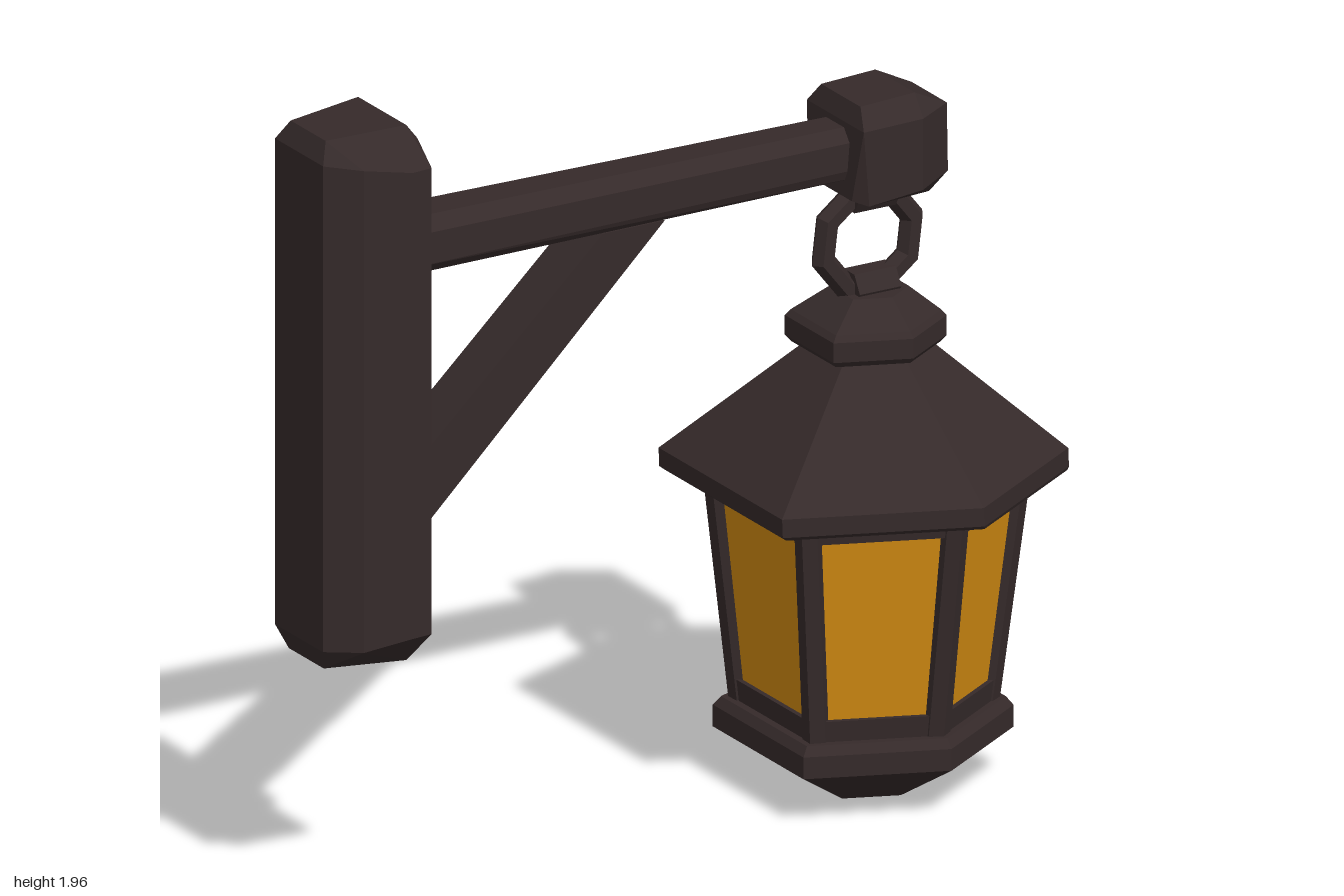
import * as THREE from 'three';
import { ConvexGeometry } from 'three/addons/geometries/ConvexGeometry.js';

const iron = new THREE.MeshStandardMaterial({ color: 0x352a2a, flatShading: true });
iron.name = 'dark iron';
const amber = new THREE.MeshStandardMaterial({ color: 0xd08a12, flatShading: true });
amber.name = 'amber glass';

// Slightly uneven hand-made hexagon, shared by every lantern part
const HEX = [[0.07, 1], [0.89, 0.48], [0.89, -0.48], [0.07, -1], [-0.9, -0.61], [-0.9, 0.61]];
const V = (x, y, z) => new THREE.Vector3(x, y, z);
const corner = (i, y, s, cx) => {
  const [x, z] = HEX[(i + 6) % 6];
  return V(cx + x * s, y, z * s);
};

export function createModel() {
  const group = new THREE.Group();
  const add = (name, geometry, material = iron) => {
    const mesh = new THREE.Mesh(geometry, material);
    mesh.name = name;
    group.add(mesh);
    return mesh;
  };
  const hull = (name, points, material) => add(name, new ConvexGeometry(points), material);
  // Convex hexagonal solid through rings of [y, size, centre x]
  const hexSolid = (name, rings, material) =>
    hull(name, rings.flatMap(([y, s, cx]) => HEX.map((_, i) => corner(i, y, s, cx))), material);
  // Convex solid from mirrored [x, y, half depth] points
  const mirrored = (name, pts) =>
    hull(name, pts.flatMap(([x, y, z]) => [V(x, y, z), V(x, y, -z)]));

  // Wall post with chamfered ends and edges
  mirrored('wallPost', [
    [-1, 0.67, 0.11], [-0.92, 0.67, 0.165], [-0.8, 0.69, 0.19], [-0.745, 0.69, 0.185],
    [-1, 1.9, 0.11], [-0.92, 1.89, 0.165], [-0.8, 1.87, 0.19], [-0.745, 1.87, 0.185],
    [-0.98, 0.615, 0.08], [-0.77, 0.605, 0.11], [-0.745, 0.635, 0.12],
    [-0.975, 1.95, 0.08], [-0.77, 1.96, 0.11], [-0.745, 1.925, 0.12],
  ]);

  // Bolts
  for (const y of [0.78, 1.78]) {
    mirrored('bolt', [
      [-0.76, y - 0.04, 0.03], [-0.76, y + 0.04, 0.03], [-0.76, y, 0.045],
      [-0.725, y - 0.04, 0.03], [-0.725, y + 0.04, 0.03], [-0.725, y, 0.045],
      [-0.71, y - 0.028, 0.02], [-0.71, y + 0.028, 0.02], [-0.71, y, 0.035],
    ]);
  }

  // Arm, tapering toward the lantern
  mirrored('arm', [[-0.78, 1.695, 0.09, 0.05], [0.55, 1.685, 0.07, 0.04]].flatMap(([x, top, z, zi]) => [
    [x, top, zi], [x, top - 0.03, z], [x, 1.585, z], [x, 1.56, zi + 0.02],
  ]));

  // Faceted block at the arm's end
  mirrored('armEnd', [
    [0.47, 1.52, 0.1], [0.485, 1.7, 0.13], [0.5, 1.75, 0.09], [0.5, 1.51, 0.13],
    [0.65, 1.757, 0.09], [0.64, 1.71, 0.145], [0.64, 1.53, 0.145], [0.69, 1.5, 0.09],
    [0.745, 1.71, 0.08], [0.745, 1.54, 0.085],
  ]);

  // Diagonal brace
  mirrored('brace', [
    [-0.77, 0.89, 0.07], [-0.72, 0.89, 0.07], [-0.03, 1.56, 0.07],
    [-0.2, 1.56, 0.07], [-0.77, 1.03, 0.07],
  ]);

  // Hanging ring and the lugs that hold it
  const ring = add('hangingRing', new THREE.TorusGeometry(0.127, 0.031, 6, 8));
  ring.position.set(0.573, 1.375, 0);
  ring.rotation.z = Math.PI / 8 - 0.12;
  for (const y of [1.256, 1.498]) {
    const lug = add('ringLug', new THREE.CylinderGeometry(0.05, 0.05, 0.115, 6));
    lug.rotation.z = Math.PI / 2;
    lug.position.set(0.58, y, 0);
  }

  // Cap and roof
  hexSolid('cap', [[1.11, 0.17, 0.577], [1.125, 0.183, 0.577], [1.175, 0.183, 0.577],
    [1.19, 0.17, 0.577], [1.25, 0.09, 0.582]]);
  hexSolid('roof', [[0.775, 0.455, 0.59], [0.785, 0.463, 0.585], [0.832, 0.463, 0.583],
    [1.12, 0.13, 0.583]]);

  // Body, whose size and centre change evenly with height
  const size = y => 0.305 + (y - 0.2) * 0.113;
  const centre = y => 0.578 + (y - 0.2) * 0.018;
  const band = (y, k = 1) => [y, size(y) * k, centre(y)];
  hexSolid('glass', [band(0.2, 0.94), band(0.78, 0.94)], amber);
  hexSolid('lowerRail', [band(0.19, 0.985), band(0.26, 0.985)]);
  hexSolid('upperRail', [band(0.725, 0.985), band(0.78, 0.985)]);
  for (let i = 0; i < 6; i++) {
    const pts = [];
    for (const y of [0.19, 0.78]) {
      const at = (j, k = 1) => corner(j, ...band(y, k));
      for (const j of [i - 1, i + 1]) {
        for (const k of [1, 0.92]) {
          const dir = at(j).sub(at(i)).normalize();
          pts.push(at(i, k).addScaledVector(dir, 0.036));
        }
      }
      pts.push(at(i, 1.005), at(i, 0.9));
    }
    hull('cornerPost', pts);
  }

  // Stepped base
  hexSolid('base', [[0.005, 0.135, 0.575], [0.04, 0.17, 0.575], [0.13, 0.34, 0.577],
    [0.185, 0.34, 0.577], [0.207, 0.322, 0.577]]);

  return group;
}
